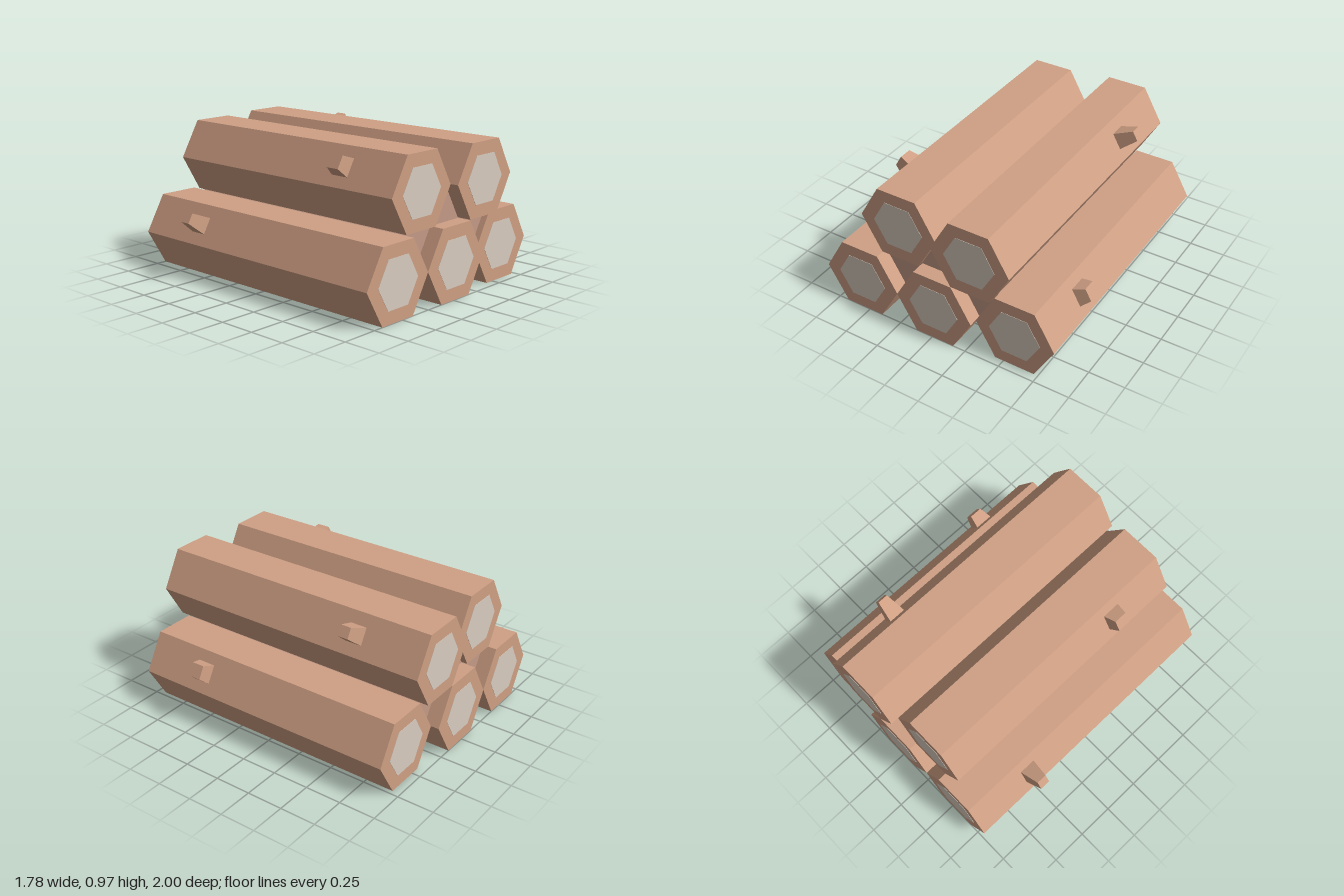
import * as THREE from 'three';

const R = 0.28;                      // log radius (corner to centre)
const A = R * Math.sqrt(3) / 2;      // log apothem

const bark = new THREE.MeshStandardMaterial({ color: 0xd0a084, flatShading: true });
const cutWood = new THREE.MeshStandardMaterial({ color: 0xd8ccc0, flatShading: true });
const innerWood = new THREE.MeshStandardMaterial({ color: 0xc49a86, flatShading: true });

// Hexagonal prism along z with flat top and bottom
function hexPrism(radius, length) {
  return new THREE.CylinderGeometry(radius, radius, length, 6).rotateY(Math.PI / 6).rotateX(Math.PI / 2);
}

function add(parent, name, geometry, material) {
  const mesh = new THREE.Mesh(geometry, material);
  mesh.name = name;
  parent.add(mesh);
  return mesh;
}

// One log with a pale cut face at each end
function makeLog(name, x, y, length) {
  const log = new THREE.Group();
  log.name = name;
  log.position.set(x, y, 0);
  add(log, 'bark', hexPrism(R, length), bark);
  for (const s of [1, -1]) {
    add(log, s > 0 ? 'frontCutFace' : 'backCutFace', hexPrism(0.182, 0.004), cutWood)
      .position.z = s * length / 2;
  }
  return log;
}

// Tapered branch stub standing on the upper sloping face of a log
function addStub(log, side, z, length, base, tip) {
  const sink = 0.01;
  const geo = new THREE.CylinderGeometry(tip / Math.SQRT2, base / Math.SQRT2, length + sink, 4)
    .rotateY(Math.PI / 4)
    .translate(0, A + (length - sink) / 2, 0)
    .rotateZ(-side * Math.PI / 3);
  add(log, 'branchStub', geo, bark).position.z = z;
}

export function createModel() {
  const group = new THREE.Group();
  group.name = 'logPile';

  // Stacked logs: three below, two above
  const low = A, high = 3 * A + 0.005;
  const lowerRight = makeLog('lowerRightLog', -0.54, low, 2);
  const lowerMiddle = makeLog('lowerMiddleLog', 0.02, low, 2);
  const lowerLeft = makeLog('lowerLeftLog', 0.58, low, 1.886);
  const upperRight = makeLog('upperRightLog', -0.26, high, 1.886);
  const upperLeft = makeLog('upperLeftLog', 0.30, high, 2);
  group.add(lowerRight, lowerMiddle, lowerLeft, upperRight, upperLeft);

  // Branch stubs: log, side, z, length, base width, tip width
  addStub(upperLeft, 1, -0.515, 0.14, 0.118, 0.072);
  addStub(lowerLeft, 1, 0.495, 0.085, 0.13, 0.09);
  addStub(upperRight, -1, 0.495, 0.085, 0.13, 0.09);
  addStub(lowerRight, -1, -0.515, 0.14, 0.118, 0.072);

  // Core closing the gaps between the logs
  const shape = new THREE.Shape([
    [0.02, 0.733], [-0.45, 0.45], [-0.26, 0.245], [0.30, 0.245], [0.49, 0.45],
  ].map(([x, y]) => new THREE.Vector2(x, y)));
  const core = new THREE.ExtrudeGeometry(shape, { depth: 1.8, bevelEnabled: false }).translate(0, 0, -0.9);
  add(group, 'gapFiller', core, innerWood);

  return group;
}
